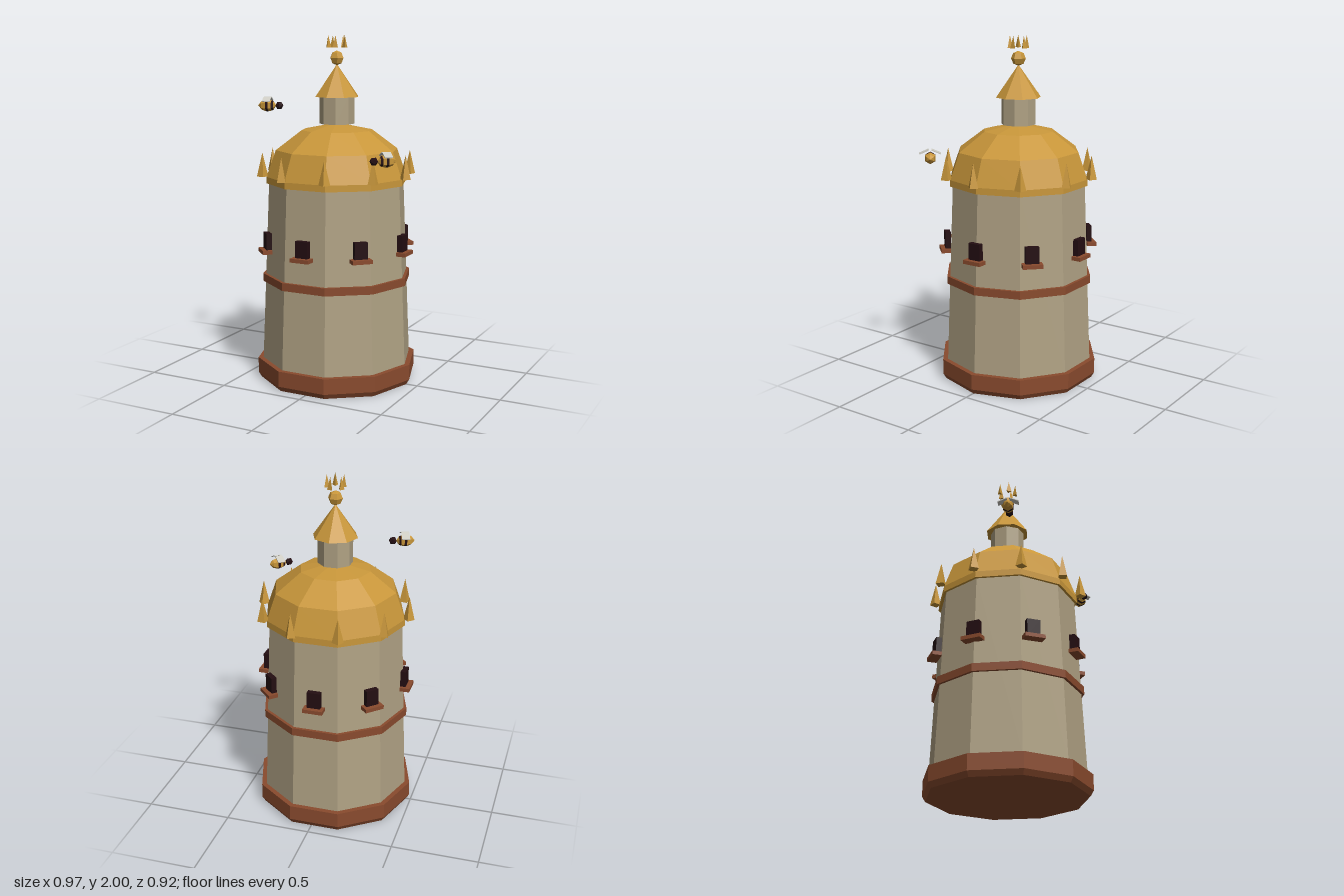
import * as THREE from 'three';

const mat = (name, color) => {
  const m = new THREE.MeshStandardMaterial({ color, flatShading: true });
  m.name = name;
  return m;
};

export function createModel() {
  const gold = mat('gold', 0xc8963a);
  const stone = mat('stone', 0xb0a284);
  const brick = mat('brick brown', 0x8a4b2e);
  const dark = mat('dark', 0x240e12);
  const wingGrey = mat('wing grey', 0xcfcdc4);

  const model = new THREE.Group();
  model.name = 'tower';

  function add(parent, name, geo, material, x = 0, y = 0, z = 0) {
    const m = new THREE.Mesh(geo, material);
    m.name = name;
    m.position.set(x, y, z);
    parent.add(m);
    return m;
  }
  // Faceted turned shape from [radius, y] points, one corner on +x
  const turned = (points, sides) => new THREE.LatheGeometry(
    points.map(([r, y]) => new THREE.Vector2(r, y)), sides, Math.PI / 2);

  const tower = new THREE.Group();
  tower.name = 'towerBody';
  tower.position.x = -0.02;
  model.add(tower);

  // Ten-sided base, wall and band
  add(tower, 'base', turned([[0, 0], [0.452, 0], [0.47, 0.03], [0.47, 0.12], [0, 0.12]], 10), brick);
  add(tower, 'wall', turned([[0.44, 0.12], [0.395, 1.17]], 10), stone);
  add(tower, 'band', turned([[0.41, 0.585], [0.436, 0.585], [0.436, 0.63], [0.41, 0.63]], 10), brick);

  // Dome with a short straight eave
  const dome = [[0, 1.16], [0.411, 1.16], [0.41, 1.197]];
  for (const deg of [60, 30, 0]) {
    const a = THREE.MathUtils.degToRad(deg);
    dome.push([0.41 * Math.sin(a), 1.197 + 0.307 * Math.cos(a)]);
  }
  add(tower, 'dome', turned(dome, 10), gold);

  // Spikes around the eave, one at each corner
  const spikeGeo = new THREE.ConeGeometry(0.033, 0.138, 4);
  for (let i = 0; i < 10; i++) {
    const a = (i * Math.PI) / 5;
    const s = add(tower, 'eaveSpike', spikeGeo, gold, 0.432 * Math.cos(a), 1.269, 0.432 * Math.sin(a));
    s.rotation.y = -a;
  }

  // Eight windows with sills
  for (let i = 0; i < 8; i++) {
    const g = new THREE.Group();
    g.name = 'window';
    g.rotation.y = (i * Math.PI) / 4;
    tower.add(g);
    add(g, 'windowPane', new THREE.BoxGeometry(0.076, 0.097, 0.032), dark, 0, 0.834, 0.418);
    add(g, 'windowSill', new THREE.BoxGeometry(0.115, 0.022, 0.056), brick, 0, 0.777, 0.432);
  }

  // Lantern, pointed roof and ball
  const lantern = add(tower, 'lantern', new THREE.CylinderGeometry(0.1, 0.1, 0.16, 8), stone, 0, 1.578, 0);
  lantern.rotation.y = Math.PI / 8;
  add(tower, 'lanternRoof', new THREE.ConeGeometry(0.13, 0.185, 8), gold, 0, 1.745, 0);
  add(tower, 'finialBall', new THREE.SphereGeometry(0.042, 6, 4), gold, 0, 1.872, 0);

  // Ring of small crown spikes
  const crownGeo = new THREE.ConeGeometry(0.018, 0.07, 3);
  for (let i = 0; i < 5; i++) {
    const a = (i * Math.PI * 2) / 5;
    const s = add(tower, 'crownSpike', crownGeo, gold, 0.05 * Math.cos(a), 1.965, 0.05 * Math.sin(a));
    s.rotation.y = -a - Math.PI / 2;
  }

  // Bee heading along its own +x
  function bee(x, y, z, heading) {
    const g = new THREE.Group();
    g.name = 'bee';
    g.position.set(x, y, z);
    g.rotation.y = heading;
    model.add(g);
    // Body in alternating bands, from tail to neck
    const profile = [[0, -0.056], [0.025, -0.036], [0.034, -0.01], [0.034, 0.004],
      [0.03, 0.022], [0.025, 0.034], [0, 0.05]];
    const bands = [gold, gold, dark, gold, dark, gold];
    bands.forEach((m, i) => {
      const band = add(g, m === dark ? 'beeStripe' : 'beeBody', turned([profile[i], profile[i + 1]], 6), m);
      band.rotation.z = -Math.PI / 2;
    });
    add(g, 'beeHead', new THREE.IcosahedronGeometry(0.024, 0), dark, 0.068, 0, 0);
    // Drooping wings
    for (const side of [-1, 1]) {
      const w = add(g, 'beeWing', new THREE.BoxGeometry(0.045, 0.005, 0.056), wingGrey, 0, 0.036, side * 0.034);
      w.rotation.x = side * 0.4;
    }
  }
  bee(-0.376, 1.602, 0.177, 0.35);
  bee(0.424, 1.338, 0.291, Math.PI + 0.69);

  return model;
}
